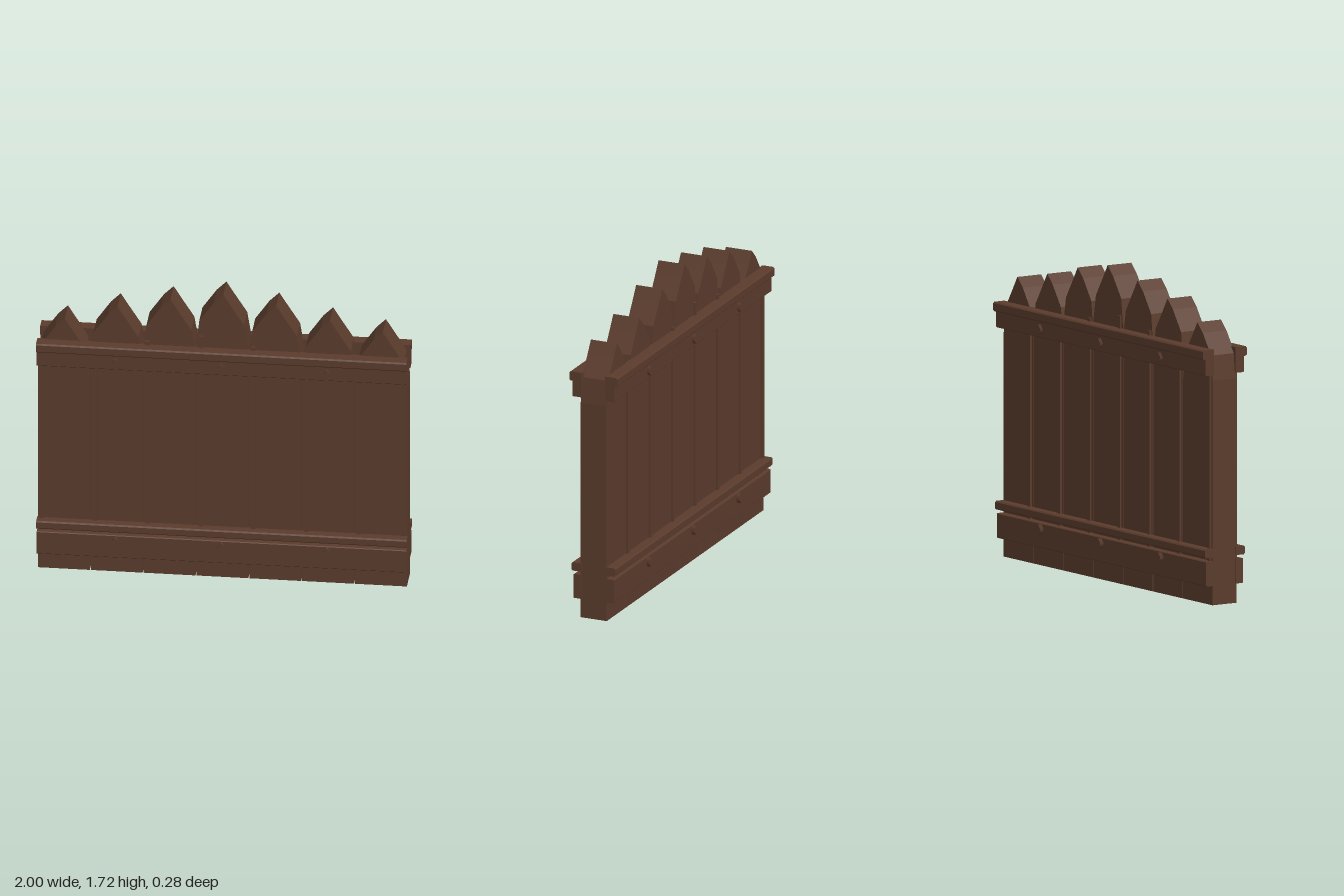
import * as THREE from 'three';

export function createModel() {
  const fence = new THREE.Group();
  fence.name = 'palisadeFence';
  const wood = new THREE.MeshStandardMaterial({ color: 0x5a3b2c });
  wood.name = 'dark brown wood';

  const add = (name, geometry, x, y, z) => {
    const mesh = new THREE.Mesh(geometry, wood);
    mesh.name = name;
    mesh.position.set(x, y, z);
    fence.add(mesh);
    return mesh;
  };

  // Pointed boards: each is a flat outline with a slightly uneven carved tip
  const halfDepth = 0.077;
  const pitch = 0.2853;
  const peaks = [1.52, 1.61, 1.67, 1.715, 1.665, 1.592, 1.537];
  const tipShift = [0.005, 0.005, 0.005, 0.005, 0.005, 0.01, 0.01];
  peaks.forEach((peak, i) => {
    const x = (i - 3) * pitch;
    const t = tipShift[i];
    const outline = [
      [-0.14, 0], [0.14, 0], [0.14, peak - 0.32], [t + 0.112, peak - 0.178],
      [t + 0.042, peak - 0.068], [t, peak], [t - 0.052, peak - 0.052],
      [t - 0.13, peak - 0.165], [-0.14, peak - 0.3],
    ];
    const shape = new THREE.Shape(outline.map(([px, py]) => new THREE.Vector2(px, py)));
    const board = new THREE.ExtrudeGeometry(shape, { depth: halfDepth * 2, bevelEnabled: false });
    add('board', board, x, 0, -halfDepth);

    // Narrow batten along one edge of the board, on both faces
    const top = Math.max(peak - 0.255, 1.3);
    for (const side of [1, -1]) {
      add('batten', new THREE.BoxGeometry(0.022, top - 0.2, 0.02),
        x - 0.118, (top + 0.2) / 2, side * (halfDepth + 0.002));
    }
  });

  // Horizontal rails with chamfered outer edges, running the full width
  const rail = (name, side, y0, y1, reach, c, length = 2) => {
    const inner = 0.07;
    const profile = new THREE.Shape([
      [inner, y0], [reach - c, y0], [reach, y0 + c],
      [reach, y1 - c], [reach - c, y1], [inner, y1],
    ].map(([z, y]) => new THREE.Vector2(z, y)));
    const geometry = new THREE.ExtrudeGeometry(profile, { depth: length, bevelEnabled: false });
    geometry.translate(0, 0, -length / 2);
    geometry.rotateY(side > 0 ? -Math.PI / 2 : Math.PI / 2);
    // Profile x becomes outward z
    add(name, geometry, 0, 0, 0);
  };

  for (const side of [1, -1]) {
    rail('upperRail', side, 1.25, 1.345, 0.125, 0.004, 1.996);
    rail('upperRailCap', side, 1.338, 1.39, 0.142, 0.007);
    rail('lowerRail', side, 0.105, 0.24, 0.12, 0.004, 1.996);
    rail('lowerTrim', side, 0.26, 0.307, 0.13, 0.007);

    // Diamond bolt heads on both main rails
    for (const y of [1.297, 0.21]) {
      for (const x of [-0.572, 0, 0.572]) {
        const bolt = new THREE.CylinderGeometry(0.026, 0.026, 0.03, 4);
        bolt.rotateX(Math.PI / 2);
        bolt.scale(0.8, 1, 1);
        add('bolt', bolt, x, y, side * 0.127);
      }
    }
  }
  return fence;
}
